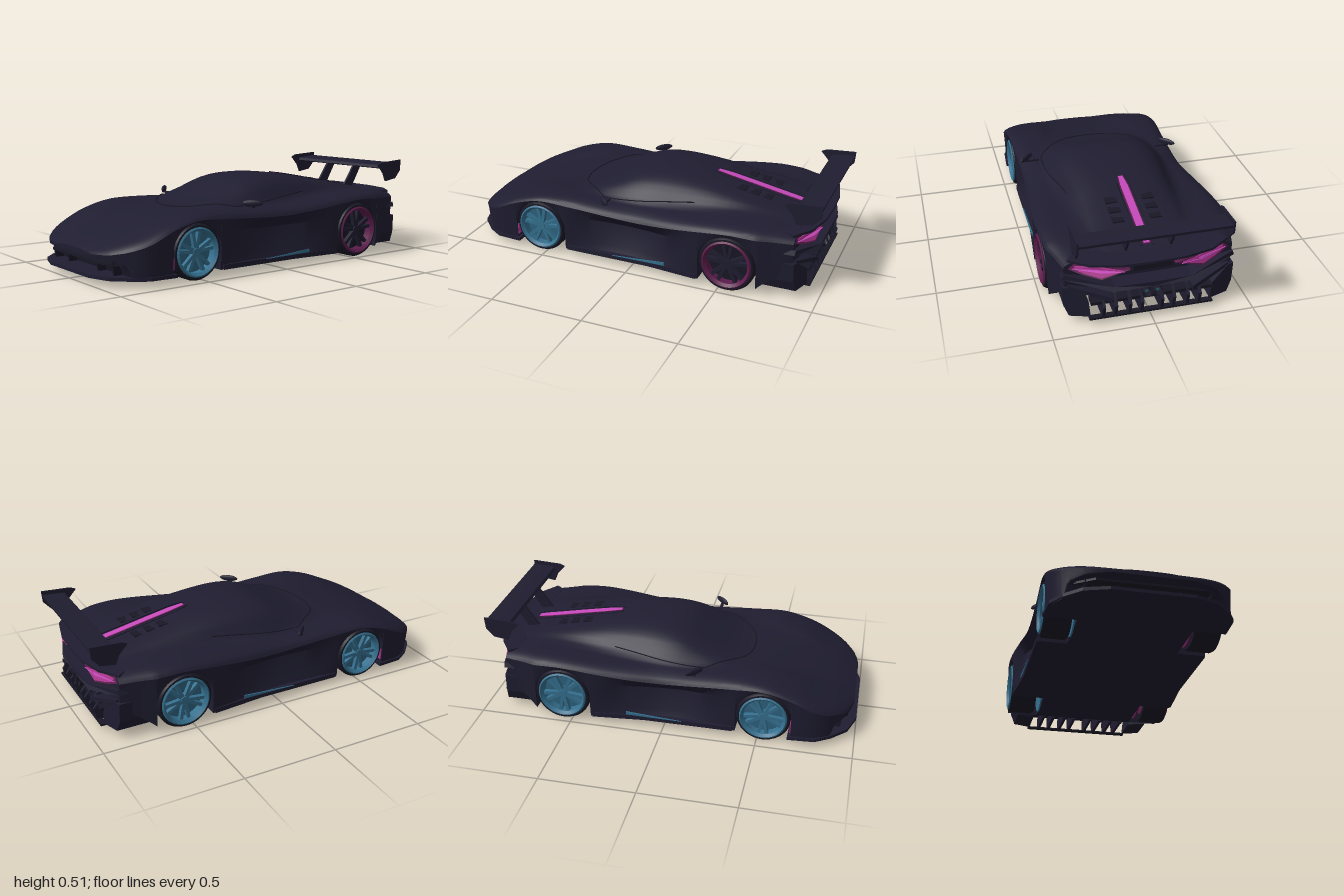
import * as THREE from 'three';
import { toCreasedNormals } from 'three/addons/utils/BufferGeometryUtils.js';

const paint = (name, color) => {
  const m = new THREE.MeshStandardMaterial({ color, side: THREE.DoubleSide });
  m.name = name;
  return m;
};

// Smooth cubic through a table of [x, value] pairs
function curve(t) {
  const slope = (i) => {
    const a = t[Math.max(i - 1, 0)], b = t[Math.min(i + 1, t.length - 1)];
    return (b[1] - a[1]) / (b[0] - a[0]);
  };
  return (x) => {
    let i = 0;
    while (i < t.length - 2 && x > t[i + 1][0]) i++;
    const [x0, a] = t[i], [x1, b] = t[i + 1], h = x1 - x0;
    const s = THREE.MathUtils.clamp((x - x0) / h, 0, 1), q = 1 - s;
    return a * (1 + 2 * s) * q * q + slope(i) * h * s * q * q
      + b * s * s * (3 - 2 * s) - slope(i + 1) * h * s * s * q;
  };
}

// Body lines along the length (nose at -x, tail at +x)
const halfWidth = curve([[-.98, .2], [-.96, .29], [-.9, .38], [-.8, .445], [-.66, .455], [-.3, .445], [0, .445],
  [.2, .465], [.45, .48], [.68, .475], [.76, .45], [.87, .42]]);
const belt = curve([[-.98, .148], [-.9, .17], [-.8, .205], [-.68, .26], [-.53, .297], [-.35, .29], [0, .272],
  [.2, .285], [.54, .32], [.7, .315], [.87, .305]]);
const shoulder = curve([[-.98, .155], [-.9, .195], [-.8, .235], [-.68, .285], [-.53, .322], [-.35, .325], [-.1, .315],
  [.2, .325], [.54, .352], [.7, .35], [.87, .335]]);
const centre = curve([[-.98, .16], [-.9, .195], [-.8, .23], [-.65, .272], [-.5, .303], [-.38, .322], [-.3, .345],
  [-.18, .395], [-.05, .447], [.1, .463], [.3, .45], [.5, .415], [.7, .375], [.87, .342]]);
const cabin = curve([[-.98, .13], [-.6, .25], [-.4, .28], [-.2, .32], [0, .335], [.2, .315], [.5, .28], [.87, .24]]);
const floor = curve([[-.98, .135], [-.93, .122], [-.89, .1], [-.87, .035], [-.8, .035], [0, .035], [.66, .035],
  [.69, .035], [.73, .07], [.87, .165]]);
const wheels = [{ x: -.53, r: .142 }, { x: .545, r: .149 }];

function archHeight(x) {
  for (const w of wheels) {
    const d = Math.abs(x - w.x), r = w.r + .004;
    if (d < r) return w.r + Math.sqrt(r * r - d * d);
  }
  return floor(x);
}

// Upper surface of the left half, from belt (u = 0) to centre line (u = 1)
function upperCurve(x) {
  const hw = halfWidth(x), sh = shoulder(x), rise = centre(x) - sh, c = Math.min(cabin(x), hw - .08);
  return new THREE.CatmullRomCurve3([[hw, belt(x)], [hw - .015, belt(x) + (sh - belt(x)) * .5], [hw - .065, sh],
    [c, sh + rise * .1], [c * .78, sh + rise * .66], [c * .5, sh + rise * .93], [0, sh + rise]]
    .map(([z, y]) => new THREE.Vector3(x, y, z)), false, 'centripetal');
}

function section(x) {
  const hw = halfWidth(x), fl = floor(x), ar = archHeight(x), inner = Math.min(.29, hw * .8);
  const recess = .055 * Math.max(0, 1 - ((x + .01) / .36) ** 2);
  const half = [[0, fl], [inner, fl], [inner, ar], [hw - .01, ar],
    [hw - .006 - recess * .6, ar + (belt(x) - ar) * .25], [hw - .003 - recess, ar + (belt(x) - ar) * .75]]
    .map(([z, y]) => new THREE.Vector3(x, y, z));
  half.push(...upperCurve(x).getPoints(18));
  const mirrored = half.slice(1, -1).reverse().map((p) => new THREE.Vector3(x, p.y, -p.z));
  return half.concat(mirrored);
}

function bodyGeometry() {
  const xs = [];
  for (let i = 0; i <= 48; i++) xs.push(-.98 + 1.85 * i / 48);
  for (const w of wheels) {
    const r = w.r + .004;
    for (let i = 0; i <= 14; i++) xs.push(w.x - (r - 1e-4) * Math.cos(Math.PI * i / 14));
    xs.push(w.x - r - 1e-4, w.x + r + 1e-4);
  }
  xs.push(-.97, -.95, -.89, -.87);
  xs.sort((a, b) => a - b);
  const rings = xs.map(section), n = rings[0].length, pos = [], index = [];
  rings.flat().forEach((p) => pos.push(p.x, p.y, p.z));
  for (let i = 0; i < xs.length - 1; i++) for (let j = 0; j < n; j++) {
    const a = i * n + j, b = i * n + (j + 1) % n;
    index.push(a, a + n, b + n, a, b + n, b);
  }
  const last = (xs.length - 1) * n, mid = pos.length / 3;
  pos.push(-.98, .148, 0, .87, .24, 0);
  for (let j = 0; j < n; j++) {
    const k = (j + 1) % n;
    index.push(mid, j, k, mid + 1, last + k, last + j);
  }
  const g = new THREE.BufferGeometry();
  g.setAttribute('position', new THREE.Float32BufferAttribute(pos, 3));
  g.setIndex(index);
  return toCreasedNormals(g, .6);
}

const extrude = (pts, depth) => new THREE.ExtrudeGeometry(
  new THREE.Shape(pts.map((p) => new THREE.Vector2(...p))), { depth, bevelEnabled: false });
// Plan outline [x, z], with its top face at y
const planSlab = (pts, y, t) => extrude(pts, t).rotateX(Math.PI / 2).translate(0, y, 0);
// Side outline [x, y], centred on z
const sideSlab = (pts, z, t) => extrude(pts, t).translate(0, 0, z - t / 2);
// Rear outline [z, y] from x0 to x1, swept forward towards the corners and leaning out at the bottom
function rearSlab(pts, x0, x1, lean = 0) {
  const g = extrude(pts.map(([z, y]) => [-z, y]), x1 - x0).rotateY(Math.PI / 2).translate(x0, 0, 0);
  const p = g.attributes.position;
  for (let i = 0; i < p.count; i++) {
    p.setX(i, p.getX(i) - Math.max(0, Math.abs(p.getZ(i)) - .2) * .33 + (.3 - p.getY(i)) * lean);
  }
  g.computeVertexNormals();
  return g;
}
const box = (x, y, z, w, h, d) => new THREE.BoxGeometry(w, h, d).translate(x, y, z);

export function createModel() {
  const car = new THREE.Group();
  car.name = 'sportsCar';
  const navy = paint('navyBody', 0x1f1d30), black = paint('blackTrim', 0x181724), teal = paint('tealRim', 0x35708f),
    darkTeal = paint('darkTeal', 0x2e627f), pink = paint('pinkLight', 0xc549b9), plum = paint('plumTrim', 0x5b1c4b),
    rose = paint('roseLight', 0xac368e);
  const add = (name, geo, mat, parent = car) => {
    const m = new THREE.Mesh(geo, mat);
    m.name = name;
    parent.add(m);
  };

  add('body', bodyGeometry(), navy);

  // Panel seams: windscreen base and side windows
  const seam = (name, fx, u0, u1) => [1, -1].forEach((s) => {
    const pts = [];
    for (let i = 0; i <= 12; i++) {
      const u = u0 + (u1 - u0) * i / 12, p = upperCurve(fx(i / 12)).getPoint(u);
      pts.push(new THREE.Vector3(p.x, p.y + .0015, p.z * s));
    }
    add(name, new THREE.TubeGeometry(new THREE.CatmullRomCurve3(pts), 24, .0035, 4), black);
  });
  seam('windscreenSeam', (t) => -.2 - .22 * Math.sin(t * Math.PI / 2), .5, 1);
  seam('sideWindowSeam', (t) => -.2 + .5 * t, .5, .56);

  // Front splitter, intake fins and nose blade
  const nose = [[-1, .2], [-.96, .32], [-.88, .4], [-.8, .45], [-.66, .46]];
  const outline = [...nose, ...nose.slice().reverse().map(([x, z]) => [x, -z])];
  add('splitter', planSlab(outline, .052, .017), navy);
  add('noseBlade', planSlab([[-.955, .26], [-.86, .4], [-.8, .43], [-.8, -.43], [-.86, -.4], [-.955, -.26]], .112, .012), black);
  for (const z of [-.3, -.15, .15, .3]) {
    add('intakeFin', sideSlab([[-.92, .05], [-.86, .05], [-.86, .14], [-.93, .13]], z, .012), black);
  }

  for (const s of [1, -1]) {
    // Side skirt with its coloured flash
    add('sideSkirt', planSlab([[-.37, .36 * s], [-.37, .446 * s], [.1, .448 * s], [.38, .475 * s], [.38, .36 * s]], .06, .025), navy);
    add('skirtFlash', sideSlab([[-.1, .058], [.2, .06], [.2, .078], [.06, .068]], .45 * s, .006), teal);

    // Mirror, swept back towards its tip
    const mirror = new THREE.Group();
    mirror.name = 'mirror';
    add('mirrorStalk', box(0, -.018, -.03 * s, .015, .01, .08), navy, mirror);
    add('mirrorHead', new THREE.SphereGeometry(.5, 12, 8).scale(.11, .036, .022).rotateY(-s * Math.PI / 4), navy, mirror);
    mirror.position.set(-.16, .35, .41 * s);
    car.add(mirror);

    // Tail lights
    const lamp = (k) => [[.11, .292], [.2, .312], [.3, .325], [.41, .322], [.4, .3], [.35, .28], [.25, .256]]
      .map(([z, y]) => [s * (.255 + (z - .255) * k), .29 + (y - .29) * k]);
    add('lampHousing', rearSlab(lamp(1), .86, .935, .4), plum);
    add('tailLight', rearSlab(lamp(.74), .93, .939, .4), rose);
    add('lightBar', rearSlab([[.14 * s, .288], [.25 * s, .3], [.38 * s, .303], [.25 * s, .289]], .936, .943, .4), pink);

    // Rear bumper blades and corners
    add('rearBlade', rearSlab([[.42 * s, .275], [.43 * s, .25], [.2 * s, .19], [0, .19], [0, .215], [.19 * s, .218]], .85, .955), navy);
    add('bumperCorner', rearSlab([[.3 * s, .04], [.4 * s, .04], [.425 * s, .1], [.43 * s, .2], [.4 * s, .2], [.31 * s, .13]], .775, .955), navy);
    add('bumperFlap', rearSlab([[.2 * s, .15], [.4 * s, .21], [.4 * s, .192], [.2 * s, .125]], .87, .95), navy);

    // Rear wing supports, end plates and roof louvres
    add('wingStrut', sideSlab([[.78, .345], [.85, .34], [.93, .475], [.87, .475]], .112 * s, .012), navy);
    add('endPlate', sideSlab([[.8, .49], [.83, .503], [.99, .512], [.985, .45], [.945, .405], [.865, .393], [.845, .44]], .374 * s, .009), navy);
    for (let i = 0; i < 3; i++) {
      const x = .5 + i * .07;
      add('louvre', box(0, 0, 0, .05, .012, .06).rotateZ(-.05).translate(x, centre(x) - .005, .095 * s), black);
    }

    // Exhaust pipes
    add('exhaust', new THREE.CylinderGeometry(.024, .024, .1, 16, 1, true).rotateZ(Math.PI / 2).translate(.9, .15, .028 * s), black);
    add('exhaustCore', new THREE.CylinderGeometry(.01, .01, .08, 12).rotateZ(Math.PI / 2).translate(.89, .15, .028 * s), darkTeal);

    // Coloured liners on the inner walls of the wheel wells
    for (const w of wheels) {
      add('wellLiner', new THREE.CylinderGeometry(w.r - .016, w.r - .016, .008, 32).rotateX(Math.PI / 2)
        .translate(w.x, w.r, .295 * s), s > 0 ? plum : teal);
    }
    add('archPatch', box(-.672, .1, .41 * s, .005, .06, .07), rose);
  }

  // Tail lip, rear panel and diffuser
  add('tailLip', planSlab([[.82, .37], [.86, .4], [.93, .3], [.965, .15], [.97, 0], [.965, -.15], [.93, -.3], [.86, -.4], [.82, -.37]], .343, .012), navy);
  add('rearPanel', box(.895, .305, 0, .08, .05, .19), black);
  add('diffuserLip', box(.925, .036, 0, .03, .01, .62), black);
  add('diffuserTop', box(.9, .118, 0, .06, .016, .6), black);
  for (const z of [-.24, -.18, -.11, -.05, .05, .11, .18, .24]) {
    add('diffuserFin', sideSlab([[.7, .035], [.935, .035], [.95, .1], [.91, .15], [.86, .17]], z, .016), navy);
  }

  // Rear wing blade
  add('wingBlade', sideSlab([[.855, .468], [.9, .458], [.985, .478], [.987, .492], [.92, .488], [.865, .482]], 0, .745), navy);

  // Glowing spine on the engine cover, between two low ribs
  const spine = (name, x0, x1, lift, z, width, mat) => {
    const up = [], down = [];
    for (let i = 0; i <= 20; i++) {
      const x = x0 + (x1 - x0) * i / 20;
      up.push([x, centre(x) + lift]);
      down.unshift([x, centre(x) - .02]);
    }
    const g = sideSlab([...up, ...down], z, width), p = g.attributes.position;
    // Tapered ends
    for (let i = 0; i < p.count; i++) {
      const x = p.getX(i);
      p.setZ(i, p.getZ(i) * Math.min(1, .6 + (x - x0) * 5, .7 + (x1 - x) * 8));
    }
    add(name, g, mat);
  };
  spine('spineEdge', .33, .83, .0025, 0, .05, plum);
  spine('spineLight', .335, .825, .0045, 0, .038, pink);
  for (const z of [-.042, .042]) spine('spineRib', .32, .84, .005, z, .014, navy);

  // Wheels, built with the axle along y and the outer face up
  const lathe = (pts) => toCreasedNormals(new THREE.LatheGeometry(pts.map((p) => new THREE.Vector2(...p)), 40), .6);
  const tyreGeo = lathe([[.1, -.07], [.132, -.07], [.142, -.055], [.142, .055], [.134, .068], [.118, .07]]);
  const rimGeo = lathe([[.104, 0], [.125, 0], [.125, .07], [.117, .076], [.104, .062], [.104, 0]]);
  for (const w of wheels) for (const s of [1, -1]) {
    const wheel = new THREE.Group(), plumWheel = w.x > 0 && s > 0;
    wheel.name = w.x > 0 ? 'rearWheel' : 'frontWheel';
    add('tyre', tyreGeo, black, wheel);
    add('rim', rimGeo, plumWheel ? plum : teal, wheel);
    add('brakeDisc', new THREE.CylinderGeometry(.108, .108, .02, 32).translate(0, .012, 0), plumWheel ? black : darkTeal, wheel);
    add('innerCover', new THREE.CylinderGeometry(.102, .102, .06, 24).translate(0, -.03, 0), s > 0 ? plum : teal, wheel);
    add('hub', new THREE.CylinderGeometry(.02, .026, .04, 16).translate(0, .04, 0), plumWheel ? navy : teal, wheel);
    for (let i = 0; i < 5; i++) for (const k of [-1, 1]) {
      const spoke = box(.065, .045, 0, .095, .022, .017).rotateY(k * .2).rotateY(i * Math.PI * .4 + Math.PI / 2);
      add('spoke', spoke, plumWheel ? navy : teal, wheel);
    }
    wheel.scale.setScalar(w.r / .142);
    wheel.rotation.x = s * Math.PI / 2;
    wheel.position.set(w.x, w.r, s * (w.x > 0 ? .4 : .378));
    car.add(wheel);
  }
  return car;
}
